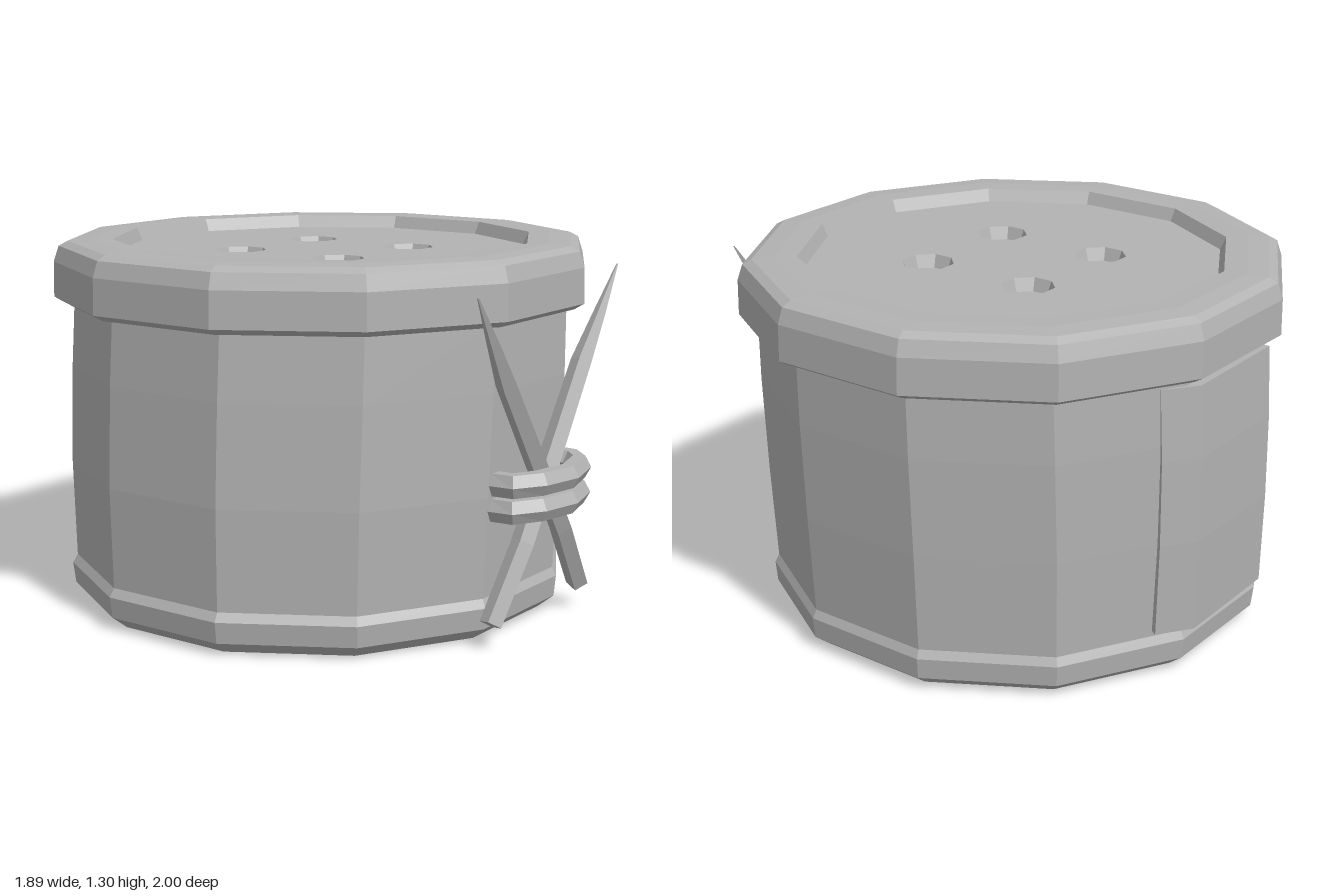
import * as THREE from 'three';

const V = (x, y, z) => new THREE.Vector3(x, y, z);
const CZ = -0.068;
const DEPTH = 0.98; // the pot is slightly narrower from front to back

// Skins a list of equal-length rings of points, ordered anticlockwise about the direction of travel
function loft(rings) {
  const pos = [];
  for (let i = 0; i < rings.length - 1; i++) {
    const n = rings[i].length;
    for (let j = 0; j < n; j++) {
      const k = (j + 1) % n;
      const a = rings[i][j], b = rings[i][k], c = rings[i + 1][k], d = rings[i + 1][j];
      for (const t of [[a, b, c], [a, c, d]]) {
        const area = t[1].clone().sub(t[0]).cross(t[2].clone().sub(t[0])).length();
        if (area > 1e-9) t.forEach(p => pos.push(p.x, p.y, p.z));
      }
    }
  }
  const g = new THREE.BufferGeometry();
  g.setAttribute('position', new THREE.Float32BufferAttribute(pos, 3));
  g.computeVertexNormals();
  return g;
}

// Regular polygon in the ground plane with flat sides facing the axes; apothem is the half width
function polygon(n, apothem, y, cx, cz, depth = 1) {
  const r = apothem / Math.cos(Math.PI / n);
  return Array.from({ length: n }, (_, j) => {
    const t = (j + 0.5) / n * Math.PI * 2;
    return V(cx + r * Math.sin(t), y, cz + r * depth * Math.cos(t));
  });
}

// Sweeps an n-sided section along a path; sizes holds [across, along up] for each point
function sweep(path, sizes, upHint, n, phase) {
  const rings = path.map((p, i) => {
    const T = path[Math.min(i + 1, path.length - 1)].clone().sub(path[Math.max(i - 1, 0)]).normalize();
    const U = upHint.clone().addScaledVector(T, -upHint.dot(T)).normalize();
    const S = U.clone().cross(T);
    return Array.from({ length: n }, (_, j) => {
      const t = phase + j / n * Math.PI * 2;
      return p.clone().addScaledVector(S, Math.cos(t) * sizes[i][0]).addScaledVector(U, Math.sin(t) * sizes[i][1]);
    });
  });
  const first = Array(n).fill(path[0]), last = Array(n).fill(path[path.length - 1]);
  return loft([first, ...rings, last]);
}

export function createModel() {
  const model = new THREE.Group();
  const gray = new THREE.MeshStandardMaterial({ color: 0xb2b2b2, flatShading: true });
  gray.name = 'plain gray';
  const add = (name, geometry, parent = model) => {
    const m = new THREE.Mesh(geometry, gray);
    m.name = name;
    parent.add(m);
    return m;
  };

  // Pot body: slightly leaning twelve-sided drum with a thicker foot [y, half width, centre x, centre z]
  const body = [
    [0, 0, -0.025, -0.072], [0, 0.825, -0.025, -0.072], [0.045, 0.88, -0.025, -0.072],
    [0.12, 0.888, -0.027, -0.072], [0.15, 0.872, -0.025, -0.072], [0.5, 0.885, -0.02, -0.07],
    [0.85, 0.886, -0.008, -0.066], [1.09, 0.88, 0, -0.063], [1.09, 0, 0, -0.063],
  ];
  add('body', loft(body.map(([y, w, x, z]) => polygon(12, w, y, x, z, DEPTH))));

  // Lid: bevelled rim with a raised lip around a sunken face
  const lid = new THREE.Group();
  lid.name = 'lid';
  model.add(lid);
  const rim = [
    [1.074, 0.8], [1.074, 0.912], [1.095, 0.946], [1.22, 0.944], [1.275, 0.926],
    [1.292, 0.895], [1.297, 0.82], [1.295, 0.742], [1.25, 0.722],
  ];
  add('lidRim', loft(rim.map(([y, w]) => polygon(12, w, y, 0, CZ, DEPTH))), lid);

  // Sunken face pierced by four eight-sided holes
  const flat = pts => pts.map(p => new THREE.Vector2(p.x, -p.z));
  const face = new THREE.Shape(flat(polygon(12, 0.722, 0, 0, CZ, DEPTH)));
  for (const x of [-0.218, 0.212]) {
    for (const z of [-0.28, 0.153]) {
      face.holes.push(new THREE.Path(flat(polygon(8, 0.086, 0, x, z))));
      const hole = [[1.25, 0.086], [1.205, 0.07], [1.205, 0]];
      add('buttonHole', loft(hole.map(([y, w]) => polygon(8, w, y, x, z))), lid);
    }
  }
  add('lidFace', new THREE.ShapeGeometry(face).rotateX(-Math.PI / 2).translate(0, 1.25, 0), lid);

  // Crossed pins, tapering to points at the top [fraction along, z, radius]
  const pin = [
    [0, 0.845, 0.036], [0.22, 0.868, 0.037], [0.45, 0.87, 0.037], [0.72, 0.873, 0.034],
    [0.86, 0.885, 0.02], [1, 0.895, 0.003],
  ];
  for (const [name, x0, x1, y1] of [['leftPin', -0.31, 0.42, 1.22], ['rightPin', 0.28, -0.5, 1.205]]) {
    const path = pin.map(([t, z]) => V(x0 + (x1 - x0) * t, 0.085 + (y1 - 0.085) * t, z));
    add(name, sweep(path, pin.map(p => [p[2], p[2] * 1.1]), V(0, 0, 1), 4, 0.25));
  }

  // Two bands binding the pins where they cross
  const band = [[-0.215, 0.79], [-0.22, 0.87], [-0.14, 0.925], [-0.01, 0.958], [0.125, 0.925], [0.172, 0.87], [0.165, 0.79]];
  for (const [name, y, dx] of [['upperBand', 0.55, 0], ['lowerBand', 0.463, -0.002]]) {
    const path = band.map(([x, z], i) => V(x + dx, y + (i - 3) * 0.003, z));
    add(name, sweep(path, band.map(() => [0.042, 0.045]), V(0, 1, 0), 6, 0));
  }

  // Back patch: thin plate wrapping one corner of the body
  const outline = [
    [-0.245, -0.92], [-0.245, -0.968], [0.205, -0.974], [0.32, -0.893], [0.305, -0.87], [0.2, -0.915],
  ];
  const patchRing = (y, dz) => outline.map(([x, z]) => V(x, y, z + dz)).reverse();
  const levels = [[0.17, -0.002], [0.5, -0.008], [0.8, -0.004], [1.05, 0.01]];
  const centre = (y, z) => Array(6).fill(V(0, y, z));
  add('backPatch', loft([
    centre(0.17, -0.945), ...levels.map(([y, dz]) => patchRing(y, dz)), centre(1.05, -0.935),
  ]));

  return model;
}
